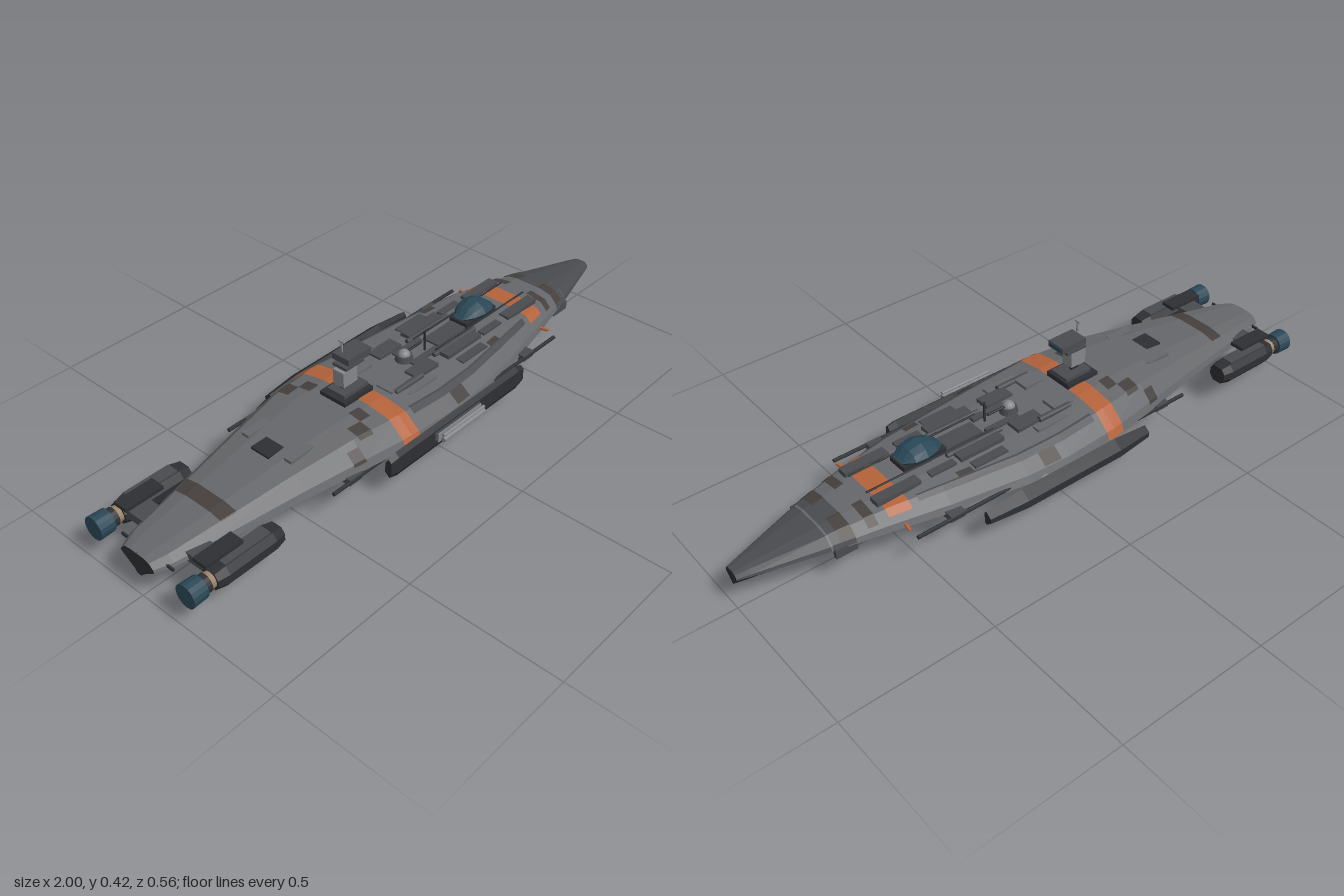
import * as THREE from 'three';

const GREY = 0x66676a, DARK = 0x2e2f33, MID = 0x4a4b4f, BROWN = 0x45403d;
const ORANGE = 0xb4623a, BLUE = 0x2a4756, LIGHT = 0x85868a, TAN = 0x9a8468;

// Hull stations along x: [x, half width, top, bottom]
const STATIONS = [
  [-1, .068, .153, .078], [-.95, .092, .163, .07], [-.85, .112, .175, .055], [-.55, .172, .213, .022],
  [-.35, .215, .234, .003], [-.18, .24, .23, 0], [0, .243, .215, .008], [.15, .232, .209, .013],
  [.4, .192, .212, .02], [.58, .152, .205, .042], [.75, .108, .183, .063], [.96, .043, .152, .089], [1, .03, .145, .096],
];
// Section shape: [fraction of half width, fraction of height]
const TOP = [[0, 1], [.38, 1], [.73, .94], [.95, .74], [1, .63]];
const BOTTOM = [[0, 0], [.12, 0], [.25, .16], [.54, .33], [.83, .5], [1, .63]];

const sample = (table, x) => {
  let i = 1;
  while (i < table.length - 1 && table[i][0] < x) i++;
  const a = table[i - 1], b = table[i], t = (x - a[0]) / (b[0] - a[0]);
  return a.map((v, k) => v + (b[k] - v) * t);
};
const hullPoint = (x, f, profile, lift = 0) => {
  const [, w, t, b] = sample(STATIONS, x);
  return [x, b + (t - b) * sample(profile, Math.abs(f))[1] + lift, f * w];
};
const deckY = (x, z) => hullPoint(x, z / sample(STATIONS, x)[1], TOP)[1];

const material = (color) => new THREE.MeshStandardMaterial({ color, flatShading: true, side: THREE.DoubleSide });
function add(group, name, geometry, color, x = 0, y = 0, z = 0) {
  const mesh = new THREE.Mesh(geometry, material(color));
  mesh.name = name;
  mesh.position.set(x, y, z);
  group.add(mesh);
  return mesh;
}
// Surface through rows of points
function grid(rows, reverse = false) {
  const n = rows[0].length, index = [];
  for (let i = 0; i < rows.length - 1; i++) for (let j = 0; j < n - 1; j++) {
    const a = i * n + j, b = a + 1, c = a + n, d = c + 1;
    index.push(...(reverse ? [a, c, b, b, c, d] : [a, b, c, b, d, c]));
  }
  const g = new THREE.BufferGeometry();
  g.setAttribute('position', new THREE.Float32BufferAttribute(rows.flat(2), 3));
  g.setIndex(index);
  g.computeVertexNormals();
  return g;
}
const breaks = (lo, hi, inner) => [lo, ...inner.filter((v) => v > lo + 1e-4 && v < hi - 1e-4), hi];
const fractions = (profile) => [...profile.map((p) => -p[0]).reverse(), ...profile.slice(1).map((p) => p[0])];
// A strip of hull skin between two x positions and two width fractions
function skin(x0, x1, f0, f1, profile, lift = 0) {
  const fs = breaks(f0, f1, fractions(profile));
  const rows = breaks(x0, x1, STATIONS.map((s) => s[0])).map((x) => fs.map((f) => hullPoint(x, f, profile, lift)));
  return grid(rows, profile === BOTTOM);
}
const box = (g, name, c, x, y, z, w, h, d) => add(g, name, new THREE.BoxGeometry(w, h, d), c, x, y, z);
const rodX = (g, name, c, x, y, z, r, len, r2 = r, sides = 12) =>
  add(g, name, new THREE.CylinderGeometry(r, r2, len, sides).rotateZ(-Math.PI / 2), c, x, y, z);
// Bar along x with a [z, y] section, its ends shrunk to give a taper
function taperedBar(section, x0, x1, taper, end, cz, cy) {
  const rows = [[x0, end], [x0 + taper, 1], [x1 - taper, 1], [x1, end]].map(([x, s]) =>
    [...section, section[0]].map(([z, y]) => [x, cy + (y - cy) * s, cz + (z - cz) * s]));
  const centre = (x) => rows[0].map(() => [x, cy, cz]);
  return grid([centre(x0), ...rows, centre(x1)]);
}

function buildHull(g) {
  add(g, 'upperHull', skin(-1, .75, -1, 1, TOP), GREY);
  add(g, 'noseTop', skin(.75, 1, -1, 1, TOP), MID);
  add(g, 'lowerHull', skin(-1, 1, -1, 1, BOTTOM), DARK);
  const fs = [...new Set([...fractions(TOP), ...fractions(BOTTOM)])].sort((a, b) => a - b);
  for (const x of [-1, 1])
    add(g, x < 0 ? 'sternCap' : 'noseCap', grid([TOP, BOTTOM].map((p) => fs.map((f) => hullPoint(x, f, p)))), DARK);
  // Painted bands and patches
  add(g, 'midBand', skin(-.215, -.15, -1, 1, TOP, .002), ORANGE);
  add(g, 'foreBand', skin(.505, .575, -.85, .85, TOP, .002), ORANGE);
  add(g, 'noseBand', skin(.68, .745, -1, 1, TOP, .003), MID);
  add(g, 'sternPatch', skin(-.79, -.74, -.75, .75, TOP, .002), BROWN);
  for (const s of [-1, 1]) {
    const patches = [[-.39, -.35, .82, .97], [-.335, -.285, .55, .78], [-.285, -.245, .35, .55], [.03, .09, .78, .95],
      [.29, .34, .6, .8], [.61, .64, .3, .9], [.68, .72, .3, .95]];
    for (const [a, b, f0, f1] of patches)
      add(g, 'camouflagePatch', skin(a, b, Math.min(s * f0, s * f1), Math.max(s * f0, s * f1), TOP, .004), BROWN);
    // Long raised shoulder plates
    add(g, 'shoulderPlate', skin(-.13, .48, s > 0 ? .7 : -.8, s > 0 ? .8 : -.7, TOP, .005), MID);
    const marker = box(g, 'bowMarker', ORANGE, .54, .153, s * .158, .01, .006, .055);
    marker.rotation.y = s * .2;
  }
  box(g, 'keelPlate', LIGHT, .06, .009, 0, .42, .006, .026);
}

function buildDeck(g) {
  const onDeck = (name, c, x, z, w, h, d) => box(g, name, c, x, deckY(x, z) + h / 2 - .004, z, w, h, d);
  for (const s of [-1, 1]) {
    // Paired deck housings: [x, z, length, height, width]
    const housings = [[.22, .08, .16, .016, .036], [.515, .08, .15, .016, .036], [.04, .075, .1, .014, .05], [-.09, .07, .07, .012, .06],
      [-.49, .085, .09, .01, .028], [.1, .035, .12, .012, .02], [.36, .085, .09, .01, .025], [-.02, .12, .12, .008, .03], [.22, .125, .12, .008, .03]];
    for (const [x, z, w, h, d] of housings) onDeck('deckHousing', x < 0 ? GREY : MID, x, s * z, w, h, d);
    rodX(g, 'deckPipe', MID, .22, deckY(.22, .055) + .006, s * .055, .008, .2);
    rodX(g, 'deckPipe', MID, -.05, deckY(-.05, .1) + .004, s * .1, .01, .12);
    rodX(g, 'deckRail', DARK, .365, .221, s * .045, .003, .45, .003, 6);
  }
  onDeck('spineHousing', MID, .25, 0, .16, .01, .06);
  onDeck('sternHatch', DARK, -.53, 0, .06, .008, .07);
  // Turret
  add(g, 'turretBase', new THREE.CylinderGeometry(.025, .03, .022, 16), MID, .045, .222, 0);
  add(g, 'turretDome', new THREE.SphereGeometry(.02, 16, 8, 0, Math.PI * 2, 0, Math.PI / 2), LIGHT, .045, .23, 0);
  rodX(g, 'turretBarrel', DARK, .09, .237, 0, .004, .07);
  box(g, 'whipAntenna', DARK, .13, .245, .01, .006, .07, .005);
  box(g, 'antennaTip', DARK, .136, .278, .01, .016, .005, .005);
  // Canopy
  const rows = [[.31, .235, .02, .001], [.34, .23, .042, .028], [.38, .228, .053, .042], [.42, .228, .048, .034], [.45, .234, .025, .005]]
    .map(([x, y, w, h]) => [[-w * .8, -.004], [-w, h * .3], [-w * .75, h * .75], [-w * .3, h], [w * .3, h], [w * .75, h * .75], [w, h * .3], [w * .8, -.004], [-w * .8, -.004]]
      .map(([z, dy]) => [x, y + dy, z]));
  add(g, 'canopy', grid(rows), BLUE);
  box(g, 'canopyBase', DARK, .38, .22, 0, .15, .016, .07);
}

function buildTower(g) {
  box(g, 'towerFoot', DARK, -.21, .236, 0, .12, .018, .1);
  box(g, 'towerStep', MID, -.205, .25, 0, .1, .012, .07);
  box(g, 'towerNeck', DARK, -.215, .267, 0, .03, .022, .012);
  box(g, 'towerBlock', LIGHT, -.217, .3, .003, .057, .05, .042);
  box(g, 'lowerBridge', MID, -.203, .338, .003, .075, .01, .054);
  box(g, 'upperBridge', MID, -.188, .362, .003, .095, .021, .064);
  box(g, 'bridgeWindow', BLUE, -.14, .362, .003, .004, .013, .052);
  box(g, 'mast', LIGHT, -.228, .402, .003, .005, .035, .005);
  box(g, 'mastBar', LIGHT, -.228, .42, .003, .005, .004, .024);
}

function buildEngines(g) {
  for (const s of [-1, 1]) {
    const z = s * .187, nacelle = new THREE.Group();
    nacelle.name = s > 0 ? 'leftNacelle' : 'rightNacelle';
    g.add(nacelle);
    const section = [[-.038, .108], [-.038, .135], [-.022, .155], [.022, .155], [.038, .135], [.038, .108], [.02, .085], [-.02, .085]]
      .map(([dz, y]) => [z + dz, y]);
    add(nacelle, 'nacelleBody', taperedBar(section, -.915, -.68, .035, .8, z, .12), DARK);
    box(nacelle, 'nacelleCover', MID, -.8, .156, z, .16, .008, .04);
    rodX(nacelle, 'thrusterRing', TAN, -.925, .122, z, .024, .03, .028, 16);
    rodX(nacelle, 'thrusterCollar', DARK, -.94, .122, z, .028, .02, .028, 16);
    rodX(nacelle, 'thruster', BLUE, -.974, .122, z, .035, .05, .037, 16);
    box(nacelle, 'pylon', MID, -.875, .135, s * .13, .07, .028, .1);
    box(nacelle, 'pylonFin', DARK, -.86, .165, s * .16, .13, .012, .05);
  }
  rodX(g, 'mainThruster', BLUE, -.985, .118, 0, .034, .028, .036, 16);
  box(g, 'sternBar', DARK, -.965, .135, 0, .006, .008, .21);
}

function buildSides(g) {
  // Left pod lies flat on the hull, right pod bulges outward
  const left = [[.218, .1], [.222, .14], [.235, .162], [.25, .15], [.25, .1], [.24, .08]];
  add(g, 'leftPod', taperedBar(left, -.29, .33, .03, .8, .235, .12), DARK);
  const right = [[-.24, .088], [-.25, .08], [-.282, .105], [-.282, .13], [-.25, .155], [-.238, .14]];
  add(g, 'rightPod', taperedBar(right.reverse(), -.29, .33, .13, .65, -.248, .118), DARK);
  for (const x of [-.1, .1])
    add(g, 'podStrut', new THREE.CylinderGeometry(.022, .022, .06, 12).rotateX(Math.PI / 2), LIGHT, x, .122, -.22);
  // Left pod fittings
  box(g, 'podPanel', MID, 0, .132, .25, .21, .026, .006);
  box(g, 'podBracket', LIGHT, 0, .13, .26, .2, .03, .004);
  rodX(g, 'podTube', LIGHT, 0, .13, .275, .008, .19);
  rodX(g, 'podTube', LIGHT, 0, .145, .275, .005, .19);
  for (const s of [-1, 1]) {
    // Long side lances, fore and aft
    rodX(g, 'sideLance', DARK, .025, .142, s * .213, .006, 1.03, .006, 8);
    for (const x of [-.4, .4]) box(g, 'lanceClamp', MID, x, .14, s * .195, .05, .02, .04);
    box(g, 'bowIntake', MID, .71, .13, s * .112, .07, .03, .014);
  }
}

export function createModel() {
  const model = new THREE.Group();
  model.name = 'spaceship';
  for (const [name, build] of Object.entries({ hull: buildHull, deck: buildDeck, tower: buildTower, engines: buildEngines, sides: buildSides })) {
    const part = new THREE.Group();
    part.name = name;
    build(part);
    model.add(part);
  }
  return model;
}
